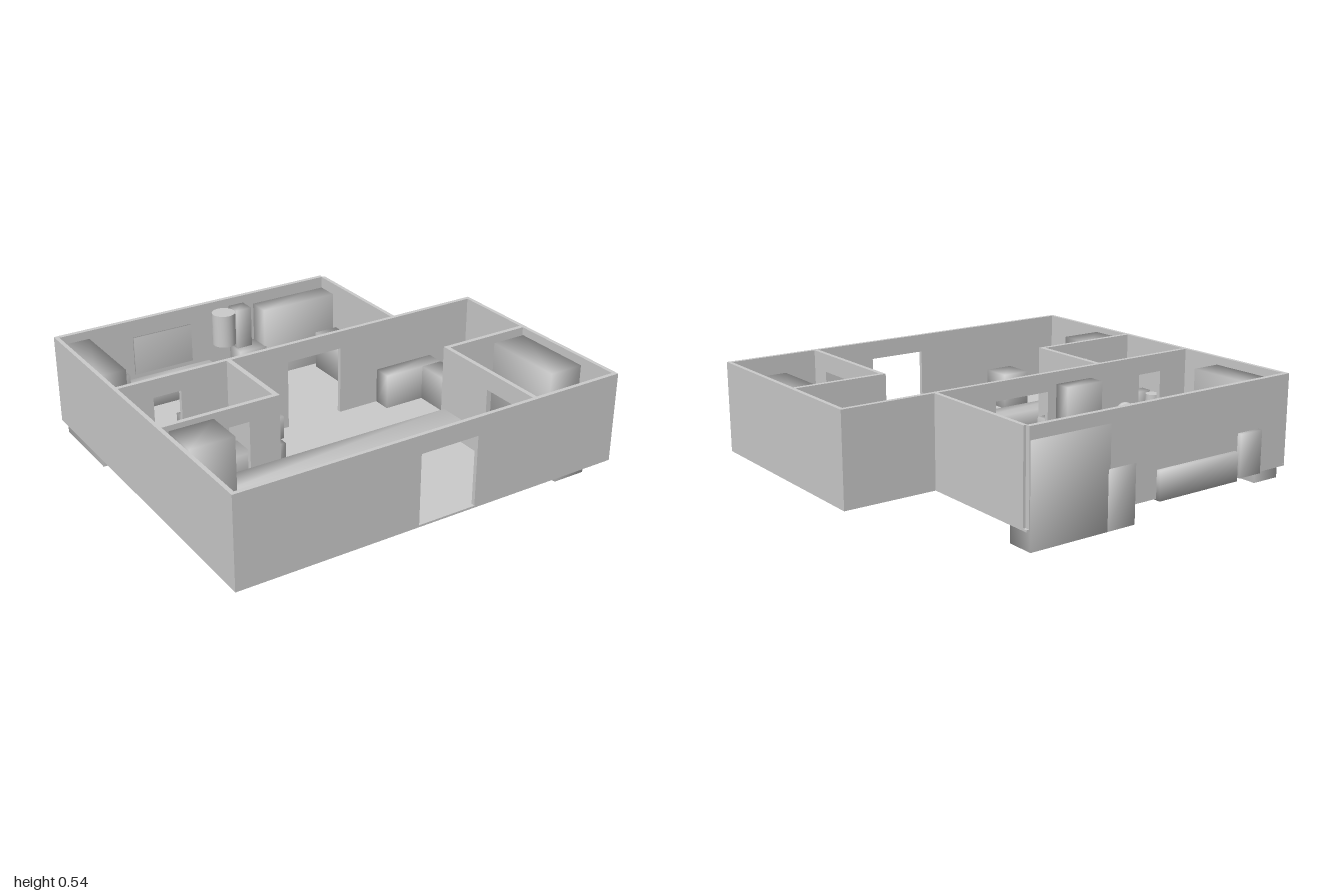
import * as THREE from 'three';
import { mergeVertices } from 'three/addons/utils/BufferGeometryUtils.js';

const FLOOR = 0.1, TOP = 0.54, DOOR_TOP = 0.45;

export function createModel() {
  const house = new THREE.Group();
  house.name = 'house';
  const material = new THREE.MeshStandardMaterial({ color: 0xcccccc });

  const add = (name, geometry, parent = house) => {
    const mesh = new THREE.Mesh(geometry, material);
    mesh.name = name;
    parent.add(mesh);
    return mesh;
  };
  const group = (name) => {
    const g = new THREE.Group();
    g.name = name;
    house.add(g);
    return g;
  };

  // box given by its limits on each axis
  const boxGeometry = (x0, x1, y0, y1, z0, z1) =>
    new THREE.BoxGeometry(x1 - x0, y1 - y0, z1 - z0)
      .translate((x0 + x1) / 2, (y0 + y1) / 2, (z0 + z1) / 2);

  // box whose corners share their normals, for the soft furniture shading
  const softBox = (name, limits, parent) => {
    const g = boxGeometry(...limits);
    g.deleteAttribute('normal');
    g.deleteAttribute('uv');
    const merged = mergeVertices(g);
    merged.computeVertexNormals();
    return add(name, merged, parent);
  };

  // wall along x or z, with optional doorway [from, to] along its length
  const walls = group('walls');
  const wall = (name, x0, x1, z0, z1, door) => {
    const alongX = x1 - x0 > z1 - z0;
    const piece = (a, b, y0, y1) => add(name, alongX
      ? boxGeometry(a, b, y0, y1, z0, z1)
      : boxGeometry(x0, x1, y0, y1, a, b), walls);
    const [start, end] = alongX ? [x0, x1] : [z0, z1];
    let at = start;
    for (const [a, b] of door || []) {
      piece(at, a, FLOOR, TOP);
      piece(a, b, DOOR_TOP, TOP);
      at = b;
    }
    piece(at, end, FLOOR, TOP);
  };

  // outer walls
  wall('frontWall', -1, 1, 0.87, 0.89, [[-0.1, 0.2]]);
  wall('rightWall', -1, -0.98, -0.875, 0.87);
  wall('leftWall', 0.98, 1, -0.19, 0.87);
  wall('backWall', -0.98, 0.52, -0.877, -0.853);
  wall('backRoomSideWall', 0.513, 0.533, -0.853, -0.21);
  // inner walls
  wall('middleWall', -0.98, 1, -0.21, -0.188, [[-0.81, -0.67], [-0.1, 0.2]]);
  wall('bathroomFrontWall', -0.98, -0.405, 0.227, 0.25, [[-0.7, -0.56]]);
  wall('bathroomSideWall', -0.43, -0.405, -0.188, 0.227);
  wall('bedroomBackWall', 0.513, 0.98, 0.227, 0.25);
  wall('bedroomSideWall', 0.513, 0.535, 0.25, 0.87, [[0.56, 0.76]]);

  // L-shaped floor
  const plan = new THREE.Shape([
    [-1, -0.89], [1, -0.89], [1, 0.21], [0.533, 0.21], [0.533, 0.877], [-1, 0.877],
  ].map(([x, y]) => new THREE.Vector2(x, y)));
  add('floor', new THREE.ExtrudeGeometry(plan, { depth: 0.01, bevelEnabled: false })
    .rotateX(-Math.PI / 2).translate(0, 0.092, 0));

  // living room
  const living = group('livingRoom');
  softBox('lowDivider', [-0.98, 0.555, 0.085, 0.22, 0.25, 0.383], living);
  softBox('tallCabinet', [-0.955, -0.74, 0.05, 0.52, 0.26, 0.45], living);
  softBox('sideTable', [-0.685, -0.53, 0.095, 0.29, 0.71, 0.87], living);
  softBox('sofaBack', [-0.4, -0.355, 0.09, 0.35, -0.188, 0.135], living);
  softBox('sofaLongSeat', [-0.36, -0.31, 0.09, 0.22, -0.188, 0.135], living);
  softBox('sofaShortSeat', [-0.36, -0.18, 0.09, 0.22, -0.188, -0.1], living);
  softBox('cornerCounterBack', [0.42, 0.75, 0.085, 0.28, -0.188, -0.095], living);
  softBox('cornerCounterSide', [0.635, 0.75, 0.085, 0.28, -0.1, 0.165], living);

  // back room with kitchen units
  const kitchen = group('backRoom');
  softBox('wardrobe', [-0.98, -0.83, 0.03, 0.5, -0.85, -0.43], kitchen);
  softBox('smallUnit', [-0.81, -0.675, 0.095, 0.305, -0.9, -0.745], kitchen);
  softBox('longUnit', [-0.66, -0.18, 0.085, 0.225, -0.9, -0.745], kitchen);
  softBox('lowUnit', [-0.055, 0.1, 0, 0.28, -0.88, -0.74], kitchen);
  softBox('tallUnit', [0.09, 0.515, 0, 0.48, -0.88, -0.74], kitchen);
  softBox('wallPanel', [-0.6, -0.28, 0.25, 0.45, -0.855, -0.843], kitchen);
  softBox('wallCupboard', [-0.055, 0.03, 0.29, 0.5, -0.855, -0.77], kitchen);
  add('boiler', new THREE.CylinderGeometry(0.06, 0.06, 0.17, 24)
    .translate(-0.12, 0.415, -0.79), kitchen);
  softBox('sideCounter', [0.385, 0.513, 0.09, 0.3, -0.71, -0.345], kitchen);
  softBox('sideCabinet', [0.385, 0.513, 0.09, 0.36, -0.345, -0.21], kitchen);
  softBox('stand', [-0.62, -0.465, 0.09, 0.25, -0.355, -0.21], kitchen);
  add('ball', new THREE.SphereGeometry(0.045, 20, 14).translate(-0.545, 0.295, -0.255), kitchen);
  softBox('deskBase', [-0.43, -0.11, 0, 0.2, -0.355, -0.21], kitchen);
  softBox('deskCabinet', [-0.36, -0.15, 0.2, 0.48, -0.295, -0.21], kitchen);
  softBox('deskEnd', [-0.43, -0.4, 0.19, 0.25, -0.3, -0.21], kitchen);

  // bathroom
  const bathroom = group('bathroom');
  softBox('bathLong', [-0.97, -0.54, 0.095, 0.28, 0.09, 0.225], bathroom);
  softBox('bathEnd', [-0.97, -0.855, 0.095, 0.28, 0.03, 0.225], bathroom);
  add('basin', new THREE.CylinderGeometry(0.036, 0.036, 0.18, 20)
    .translate(-0.93, 0.19, -0.03), bathroom);

  // front bedroom
  const bedroom = group('frontBedroom');
  softBox('tallWardrobe', [0.8, 0.98, 0.085, 0.5, 0.255, 0.67], bedroom);
  // tapered bench, narrower towards its foot
  const bench = softBox('bench', [0.65, 0.89, 0.062, 0.28, 0.78, 0.87], bedroom);
  const p = bench.geometry.attributes.position;
  for (let i = 0; i < p.count; i++) {
    if (p.getY(i) < 0.1) p.setX(i, 0.77 + (p.getX(i) - 0.77) * 0.7);
  }
  bench.geometry.computeVertexNormals();

  return house;
}
